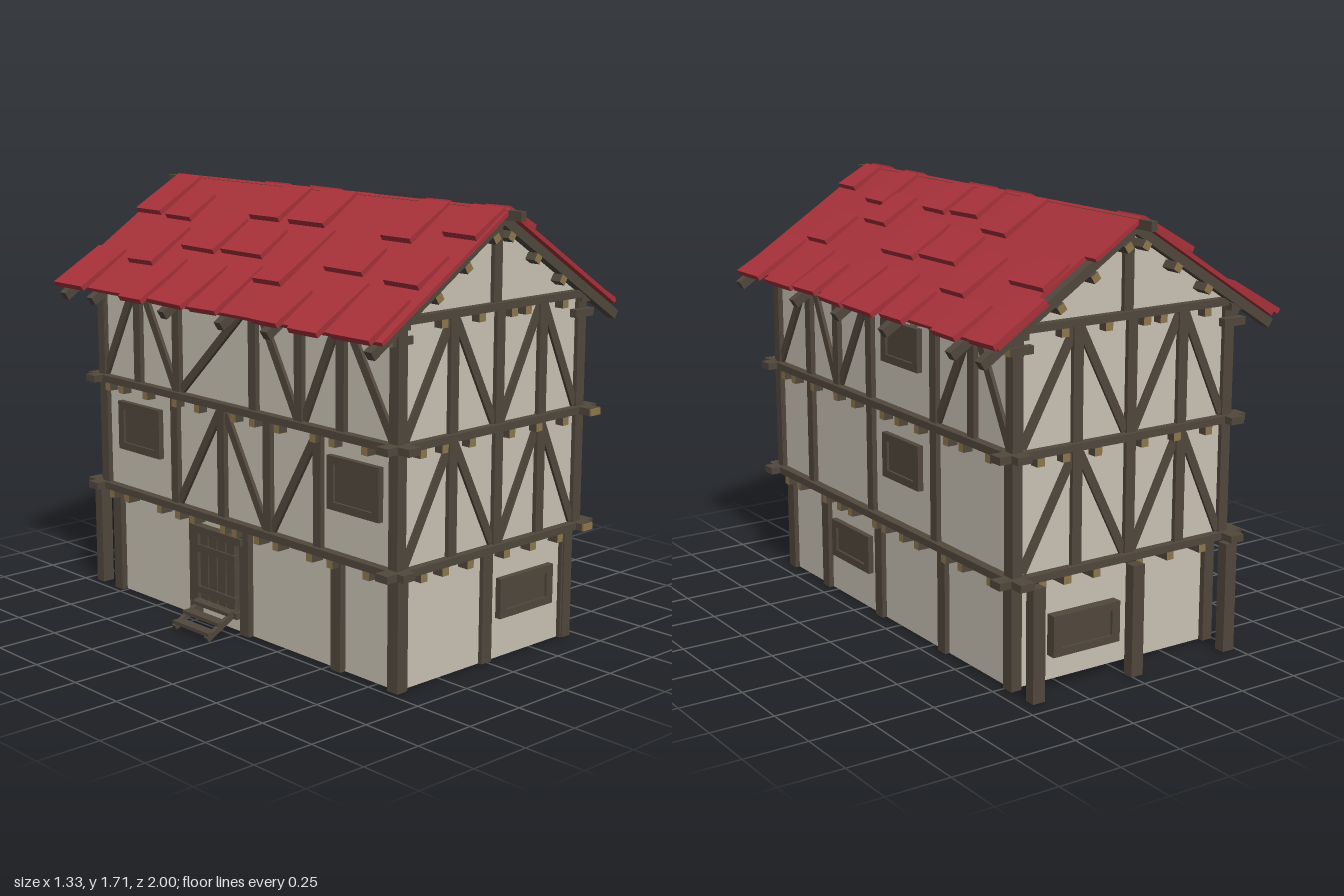
import * as THREE from 'three';

const mat = (name, color) => Object.assign(new THREE.MeshStandardMaterial({ color }), { name });

export function createModel() {
  const wood = mat('dark timber', 0x51483d);
  const endGrain = mat('cut timber end', 0x8f774c);
  const plaster = mat('plaster', 0xcac3b5);
  plaster.side = THREE.DoubleSide;
  const red = mat('red roof', 0xa8313a);
  const capped = [wood, wood, wood, wood, endGrain, wood];

  const model = new THREE.Group();
  model.name = 'timberHouse';

  const group = (name, parent = model) => {
    const g = new THREE.Group();
    g.name = name;
    parent.add(g);
    return g;
  };
  const add = (parent, name, geo, material, x = 0, y = 0, z = 0) => {
    const m = new THREE.Mesh(geo, material);
    m.name = name;
    m.position.set(x, y, z);
    parent.add(m);
    return m;
  };
  const box = (parent, name, w, h, d, x, y, z, material = wood) =>
    add(parent, name, new THREE.BoxGeometry(w, h, d), material, x, y, z);
  // straight timber between two points of a wall face
  const timber = (parent, name, x0, y0, x1, y1, w = 0.04, d = 0.045, z = 0) => {
    const m = box(parent, name, Math.hypot(x1 - x0, y1 - y0), w, d, (x0 + x1) / 2, (y0 + y1) / 2, z);
    m.rotation.z = Math.atan2(y1 - y0, x1 - x0);
    return m;
  };
  // shuttered window: raised ring around a recessed panel
  const windowPanel = (parent, x, y, w, h, z) => {
    const rect = (C, a, b) => new C([[-a, -b], [a, -b], [a, b], [-a, b]].map(p => new THREE.Vector2(...p)));
    const ring = rect(THREE.Shape, w / 2, h / 2);
    ring.holes.push(rect(THREE.Path, w / 2 - 0.035, h / 2 - 0.03));
    const g = group('window', parent);
    g.position.set(x, y, z);
    add(g, 'windowFrame', new THREE.ExtrudeGeometry(ring, { depth: 0.04, bevelEnabled: false }), wood, 0, 0, -0.015);
    box(g, 'windowShutter', w - 0.06, h - 0.05, 0.03, 0, 0, 0);
  };

  // plaster walls: open ground storey and gabled upper storeys
  const groundWalls = group('groundWalls');
  const wall = (w, x, z, ry) => {
    add(groundWalls, 'groundWall', new THREE.PlaneGeometry(w, 0.43), plaster, x, 0.215, z).rotation.y = ry;
  };
  wall(0.895, -0.0125, 0.86, 0);
  wall(0.895, -0.0125, -0.78, Math.PI);
  wall(1.64, 0.435, 0.04, Math.PI / 2);
  wall(1.64, -0.46, 0.04, -Math.PI / 2);
  const gable = new THREE.Shape([[-0.475, 0.44], [0.475, 0.44], [0.475, 1.345], [0, 1.65], [-0.475, 1.345]]
    .map(p => new THREE.Vector2(...p)));
  add(model, 'upperWalls', new THREE.ExtrudeGeometry(gable, { depth: 1.72, bevelEnabled: false }), plaster, 0, 0, -0.85);

  // floor deck with joists on its underside
  const deck = group('floorDeck');
  box(deck, 'floorBoards', 0.95, 0.02, 1.72, 0, 0.435, 0.01);
  for (let i = 0; i < 12; i++) box(deck, 'joist', 0.9, 0.025, 0.04, 0, 0.415, -0.74 + i * 0.14);
  for (let i = 0; i < 5; i++) box(deck, 'crossJoist', 0.03, 0.02, 1.62, -0.36 + i * 0.18, 0.41, 0.04);

  // timber framing; each face is built in its own plane, outward is local +z
  const LEVELS = [[0, 0.43], [0.455, 0.885], [0.91, 1.335]];
  const buildFace = f => {
    const g = group(f.name);
    g.position.set(f.x, 0, f.z);
    g.rotation.y = f.turn;
    f.posts.forEach((list, i) => list.forEach(u =>
      timber(g, 'post', u, LEVELS[i][0], u, LEVELS[i][1], i ? 0.042 : 0.052, 0.045, i ? 0 : f.inset)));
    // braces: [level, foot, head]
    f.braces.forEach(([i, foot, head]) =>
      timber(g, 'brace', foot, LEVELS[i][0] + 0.01, head, LEVELS[i][1] - 0.02, 0.034, 0.032));
    f.beams.forEach(([y, u0, u1]) => box(g, 'floorBeam', u1 - u0, 0.028, 0.06, (u0 + u1) / 2, y, 0.008));
    f.stubs.forEach(([y, list]) => list.forEach(u =>
      box(g, 'joistEnd', 0.032, 0.03, 0.1, u, y, -0.008, capped)));
    f.windows.forEach(([u, y, w, h, z]) => windowPanel(g, u, y, w, h, z));
    return g;
  };
  const ends = [-0.475, -0.217, 0.022, 0.255, 0.47];
  const zigzag = [];
  for (const i of [1, 2]) zigzag.push([i, -0.45, -0.23], [i, 0, -0.2], [i, 0.04, 0.24], [i, 0.45, 0.27]);
  const endStubs = [[0.415, [-0.38, -0.27, -0.14, 0.055, 0.2, 0.355]],
    [0.868, [-0.39, -0.28, -0.14, 0.07, 0.22, 0.37]], [1.315, [-0.29, -0.1, 0.07, 0.145, 0.35]]];
  const endBeams = [[0.443, -0.56, 0.55], [0.897, -0.56, 0.55], [1.343, -0.5, 0.49]];

  const front = buildFace({
    name: 'frontFrame', x: 0, z: 0.865, turn: 0, inset: -0.01,
    posts: [[-0.455, -0.014, 0.428], ends, ends], braces: zigzag, beams: endBeams, stubs: endStubs,
    windows: [[0.197, 0.235, 0.295, 0.155, -0.005]],
  });
  const back = buildFace({
    name: 'backFrame', x: 0, z: -0.845, turn: Math.PI, inset: 0.07,
    posts: [[-0.428, 0.014, 0.455], ends, ends], braces: zigzag, beams: endBeams, stubs: endStubs,
    windows: [[-0.22, 0.235, 0.295, 0.155, 0.07]],
  });
  const gablePost = g => timber(g, 'gablePost', 0, 1.35, 0, 1.66, 0.042, 0.045);
  gablePost(front);
  gablePost(back);
  box(back, 'backBeamEnd', 0.008, 0.026, 0.055, -0.552, 0.443, 0.01, endGrain);
  box(back, 'backBeamEnd', 0.008, 0.026, 0.055, -0.552, 0.897, 0.01, endGrain);

  const sideStubs = [[0.415, [-0.77, -0.67, -0.45, -0.33, -0.24, -0.05, 0.02, 0.15, 0.26, 0.45, 0.56, 0.75]],
    [0.868, [-0.78, -0.69, -0.53, -0.34, -0.2, 0.02, 0.13, 0.27, 0.47, 0.57, 0.74]],
    [1.27, [-0.89, -0.36, 0.05, 0.25, 0.55, 0.86]]];
  const sideBeams = [[0.443, -0.935, 0.94], [0.897, -0.955, 0.92], [1.325, -0.9, 0.9]];
  const upper = [-0.865, -0.592, -0.368, -0.11, 0.352, 0.603, 0.845];
  const upperBraces = [[2, -0.85, -0.61], [2, -0.385, -0.575], [2, -0.35, -0.125], [2, 0.37, 0.59], [2, 0.83, 0.62]];
  buildFace({
    name: 'leftFrame', x: 0.473, z: 0, turn: Math.PI / 2, inset: -0.04,
    posts: [[-0.857, -0.557, -0.125, 0.338, 0.778], [-0.865, -0.59, -0.11, 0.352, 0.835], upper],
    braces: upperBraces, beams: sideBeams, stubs: sideStubs,
    windows: [[-0.347, 0.233, 0.295, 0.155, -0.04], [0.12, 0.708, 0.26, 0.175, 0], [0.12, 1.158, 0.26, 0.165, 0]],
  });
  for (const y of [0.443, 0.897])
    box(model, 'sideBeamEnd', 0.055, 0.026, 0.008, 0.478, y, y < 0.5 ? 0.937 : 0.957, endGrain);

  const right = buildFace({
    name: 'rightFrame', x: -0.473, z: 0, turn: -Math.PI / 2, inset: -0.01,
    posts: [[-0.778, -0.27, 0.04, 0.56, 0.857], [-0.835, -0.37, -0.08, 0.19, 0.47, 0.865],
      upper.map(u => -u).map(u => Math.max(-0.845, u))],
    braces: [[1, -0.35, -0.1], [1, 0.17, -0.06], [1, 0.21, 0.45],
      [2, -0.83, -0.62], [2, -0.37, -0.59], [2, -0.33, 0.09], [2, 0.35, 0.13], [2, 0.39, 0.575], [2, 0.85, 0.61]],
    beams: sideBeams.map(([y, a, b]) => [y, -b, -a]), stubs: sideStubs,
    windows: [[-0.6, 0.715, 0.27, 0.2, 0], [0.66, 0.715, 0.27, 0.2, 0]],
  });

  // plank door with ledges and steps
  const door = group('door', right);
  door.position.set(-0.115, 0, 0);
  for (let i = 0; i < 4; i++) box(door, 'doorPlank', 0.046, 0.28, 0.035, -0.081 + i * 0.054, 0.22, 0);
  for (const y of [0.13, 0.3]) box(door, 'doorLedge', 0.23, 0.03, 0.05, 0, y, 0);
  box(door, 'doorLintel', 0.3, 0.03, 0.05, 0, 0.375, 0);
  box(door, 'doorSill', 0.26, 0.025, 0.06, 0, 0.075, 0);
  const steps = group('steps', door);
  for (const s of [-1, 1]) {
    const rail = box(steps, 'stringer', 0.02, 0.022, 0.175, s * 0.1, 0.047, 0.08);
    rail.rotation.x = 0.5;
  }
  for (let i = 0; i < 3; i++) box(steps, 'tread', 0.22, 0.014, 0.045, 0, 0.085 - i * 0.03, 0.035 + i * 0.05);

  // roof: local x runs down the slope, tiles listed as x0, x1, z0, z1 in hundredths (plan)
  const PITCH = Math.atan(0.64), RUN = 1 / Math.cos(PITCH);
  const tilesLeft = [[40, 62, -94, -79], [47, 63, -72, -57], [28, 47, -53, -38], [25, 37, -87, -67],
    [48, 63, -37, -22], [22, 36, -30, -6], [43, 64, -18, 3], [20, 38, -4, 18], [43, 64, 5, 22], [12, 27, 34, 50],
    [47, 63, 28, 44], [43, 64, 45, 66], [26, 41, 57, 72], [42, 64, 72, 90], [1, 15, -13, 5], [2, 16, 8, 23],
    [1, 20, -40, -24], [1, 18, 50, 64], [1, 14, 80, 93]];
  const tilesRight = [[43, 65, -93, -74], [28, 48, -66, -51], [10, 24, -72, -56], [43, 66, -48, -34],
    [20, 38, -44, -24], [43, 65, -31, -10], [23, 37, -21, 3], [41, 65, -6, 9], [48, 65, 30, 44], [25, 38, 39, 59],
    [41, 66, 51, 66], [45, 65, 72, 91], [25, 40, 72, 89], [1, 23, -93, -77], [1, 19, -25, -8], [1, 19, -2, 18],
    [20, 48, 11, 26], [1, 21, 51, 66], [1, 16, 77, 93]];
  let seed = 7;
  const rnd = () => (seed = (seed * 16807) % 2147483647) / 2147483647;
  // tile: a thin slab, narrower at its upper end, its lower end lifted
  const tile = (parent, x0, x1, z0, z1) => {
    const l = (x1 - x0) * RUN, geo = new THREE.BoxGeometry(l, 0.022, z1 - z0), p = geo.attributes.position;
    const taper = 0.84 + 0.14 * rnd();
    for (let i = 0; i < p.count; i++) if (p.getX(i) < 0) p.setZ(i, p.getZ(i) * taper);
    geo.computeVertexNormals();
    const m = add(parent, 'roofTile', geo, red, (x0 + x1) / 2 * RUN, 0.006, (z0 + z1) / 2);
    m.rotation.set(0, (rnd() - 0.5) * 0.06, 0.05);
  };
  const buildSlope = (name, turn, sheet, tiles, flip, rafters) => {
    const g = group(name);
    g.position.y = 1.697;
    g.rotation.set(0, turn, -PITCH);
    const geo = new THREE.ExtrudeGeometry(new THREE.Shape(sheet.map(p => new THREE.Vector2(p[0] * RUN, p[1]))),
      { depth: 0.016, bevelEnabled: false });
    geo.rotateX(Math.PI / 2);
    add(g, 'roofSheet', geo, red);
    tiles.forEach(t => {
      const [x0, x1, z0, z1] = t.map(v => v / 100);
      if (flip) tile(g, x0, x1, -z1, -z0);
      else tile(g, x0, x1, z0, z1);
    });
    rafters.forEach(z => box(g, 'rafter', 0.785, 0.036, 0.036, 0.393, -0.035, flip ? -z : z));
    // purlin ends below the gable rafters
    for (const s of [-1, 1]) for (const x of [0.09, 0.26, 0.43]) {
      const stub = box(g, 'purlinEnd', 0.032, 0.03, 0.09, x, -0.068, s * 0.87, capped);
      if (s < 0) stub.rotation.y = Math.PI;
    }
  };
  buildSlope('leftRoof', 0,
    [[0, -0.93], [0.2, -0.93], [0.2, -0.87], [0.4, -0.87], [0.4, -0.93], [0.605, -0.93], [0.605, 0.94], [0, 0.94]],
    tilesLeft, false, [-0.885, -0.7, -0.25, 0.1, 0.43, 0.895]);
  buildSlope('rightRoof', Math.PI, [[0, -0.94], [0.63, -0.94], [0.63, 0.93], [0, 0.93]],
    tilesRight, true, [-0.885, -0.7, -0.24, 0.1, 0.36, 0.895]);
  box(model, 'ridgeBeam', 0.026, 0.036, 2, 0, 1.672, 0);

  return model;
}
